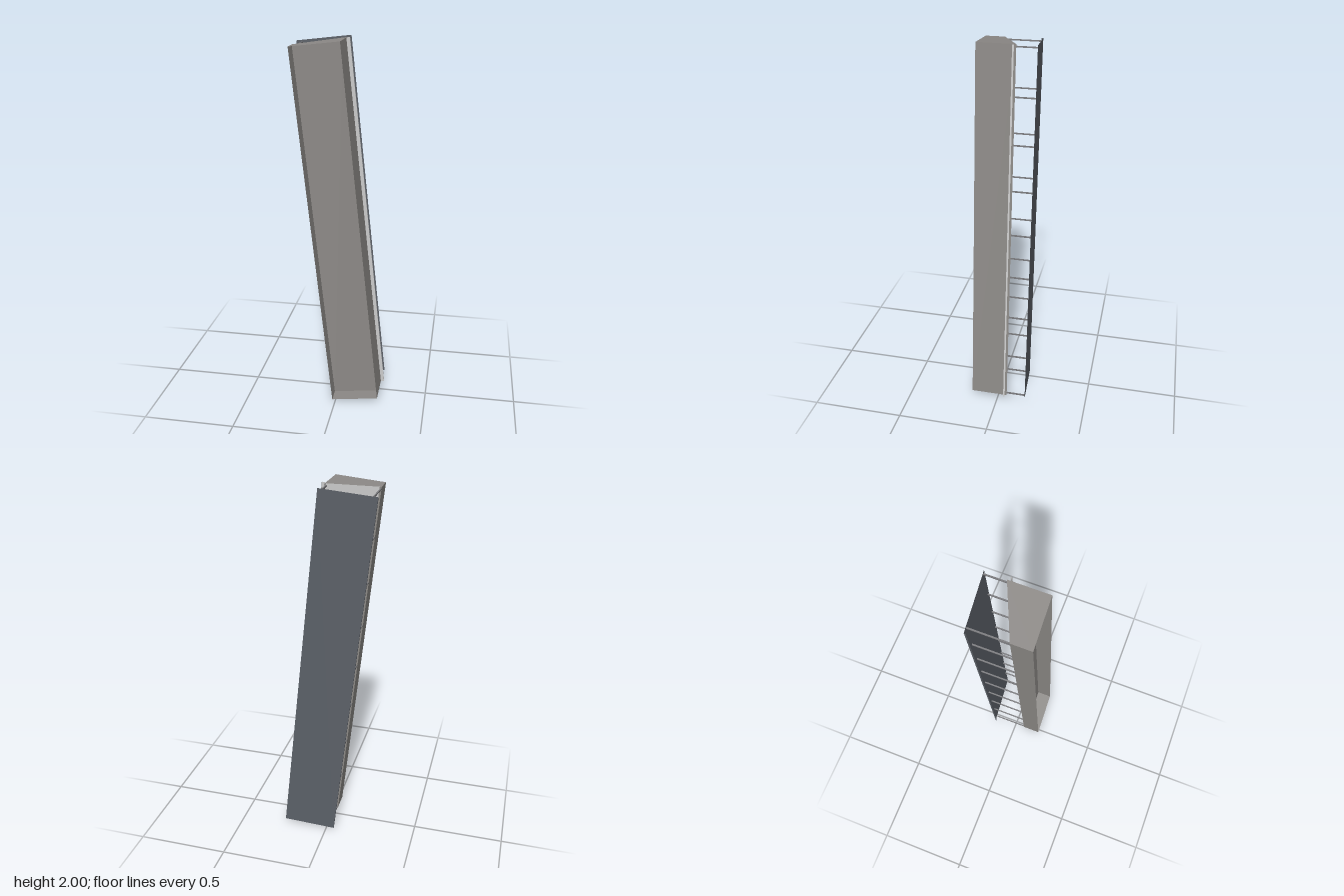
import * as THREE from 'three';

const LENGTH = 1.976, TILT = 0.1075;
const material = (color) => new THREE.MeshStandardMaterial({ color, side: THREE.DoubleSide, flatShading: true });

// Thin sheet: an open [x, z] polyline swept along the full height
function sheet(name, points, mat) {
  const pos = [], h = LENGTH / 2;
  for (let i = 0; i < points.length - 1; i++) {
    const [ax, az] = points[i], [bx, bz] = points[i + 1];
    pos.push(ax, -h, az, bx, -h, bz, bx, h, bz, ax, -h, az, bx, h, bz, ax, h, az);
  }
  const geo = new THREE.BufferGeometry();
  geo.setAttribute('position', new THREE.Float32BufferAttribute(pos, 3));
  geo.computeVertexNormals();
  const mesh = new THREE.Mesh(geo, mat);
  mesh.name = name;
  return mesh;
}

// Flat end plate with an [x, z] outline
function endPlate(name, outline, y, mat) {
  const shape = new THREE.Shape(outline.map(([x, z]) => new THREE.Vector2(x, -z)));
  const mesh = new THREE.Mesh(new THREE.ShapeGeometry(shape).rotateX(-Math.PI / 2), mat);
  mesh.name = name;
  mesh.position.y = y;
  return mesh;
}

export function createModel() {
  const model = new THREE.Group();
  model.name = 'tiltedLouvreBox';
  const tilted = new THREE.Group();
  tilted.name = 'tiltedAssembly';
  const bodyMat = material(0x8c8986), panelMat = material(0x5c6168);
  const bladeMat = material(0xcccccc), rodMat = material(0x77777a);

  // Open-fronted housing with a deep recessed floor
  const xl = -0.125, xr = 0.131;
  const frontL = [xl, 0.159], frontR = [xr, 0.147];
  const backL = [xl, 0.057], backR = [xr, -0.055];
  const body = new THREE.Group();
  body.name = 'housing';
  body.add(
    sheet('leftWall', [frontL, backL], bodyMat),
    sheet('rightWall', [frontR, backR], bodyMat),
    sheet('recessedFloor', [[xl, 0.075], [xr, 0.063]], bodyMat),
    endPlate('topPlate', [frontL, frontR, backR, backL], LENGTH / 2, bodyMat),
    endPlate('bottomPlate', [frontL, frontR, backR, backL], -LENGTH / 2, bodyMat)
  );
  tilted.add(body);

  // Lengthwise louvre blades stepping along the sloping open back
  const blades = new THREE.Group();
  blades.name = 'louvreBlades';
  const count = 8;
  for (let i = 0; i < count; i++) {
    const t = i / (count - 1);
    const x = THREE.MathUtils.lerp(-0.115, 0.1, t), z = THREE.MathUtils.lerp(0.056, -0.038, t);
    blades.add(sheet('louvreBlade', [[x, z], [x + 0.049, z], [x + 0.049, z - 0.009]], bladeMat));
  }
  tilted.add(blades);

  // Rear panel with a small lip on one edge
  tilted.add(sheet('rearPanel', [[-0.149, -0.128], [-0.149, -0.137], [0.138, -0.161]], panelMat));

  // Pairs of stand-off rods between housing and panel
  const rods = new THREE.Group();
  rods.name = 'standoffRods';
  const levels = 9;
  for (let i = 0; i < levels; i++) {
    const y = (i / (levels - 1) - 0.5) * (LENGTH - 0.025);
    for (const [x, z0, z1] of [[xl + 0.004, -0.138, 0.057], [xr - 0.007, -0.159, -0.052]]) {
      const rod = new THREE.Mesh(new THREE.BoxGeometry(0.007, 0.007, z1 - z0), rodMat);
      rod.name = 'standoffRod';
      rod.position.set(x, y, (z0 + z1) / 2);
      rods.add(rod);
    }
  }
  tilted.add(rods);

  // Lean the whole assembly sideways and stand it on the ground
  tilted.rotation.z = TILT;
  model.add(tilted);
  model.updateMatrixWorld(true);
  tilted.position.y = -new THREE.Box3().setFromObject(model, true).min.y;
  return model;
}
